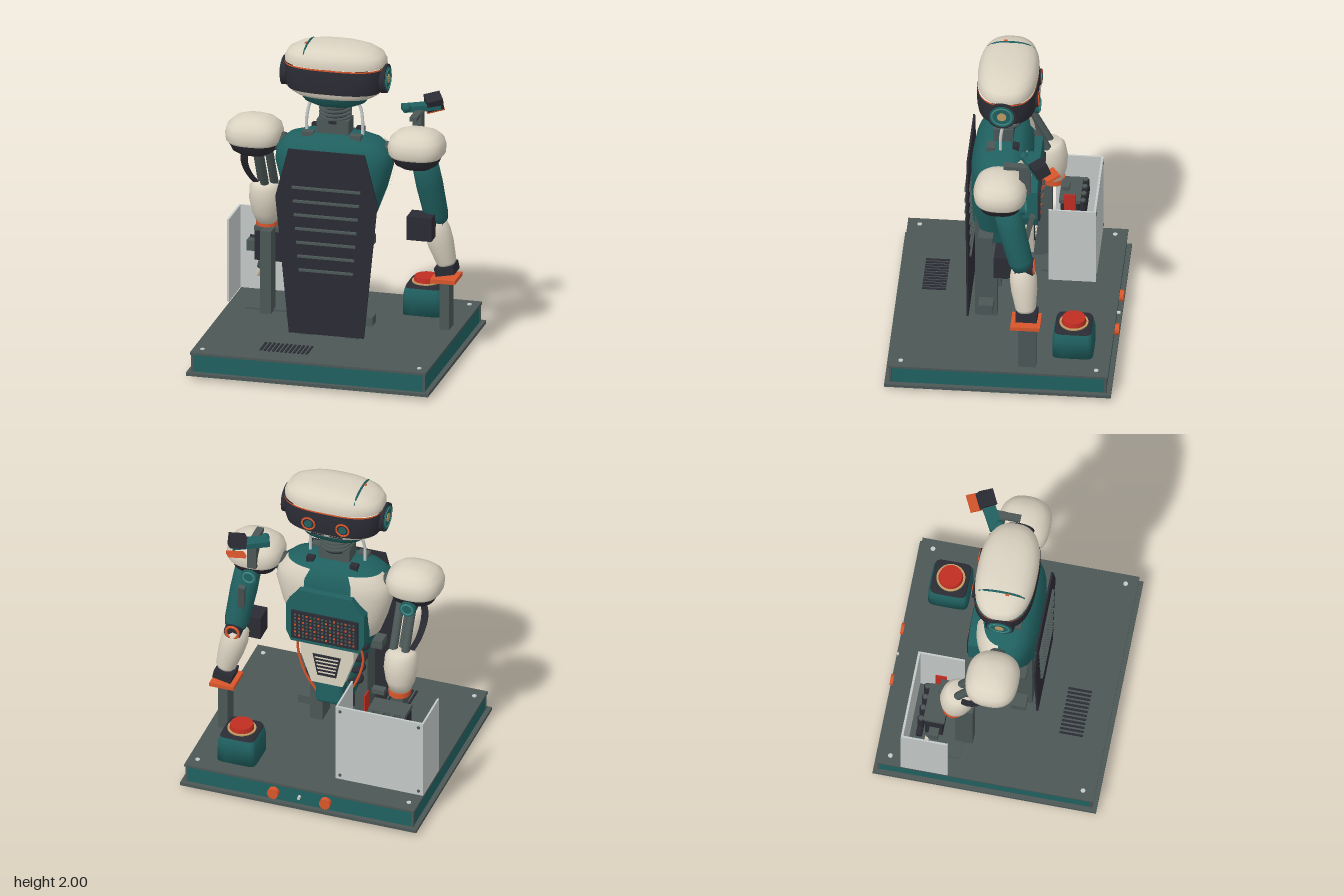
import * as THREE from 'three';
import { mergeVertices, mergeGeometries } from 'three/addons/utils/BufferGeometryUtils.js';
import { RoundedBoxGeometry } from 'three/addons/geometries/RoundedBoxGeometry.js';

const mat = (name, color) => Object.assign(new THREE.MeshStandardMaterial({ color }), { name });
const cream = mat('cream', 0xdad2c1), teal = mat('teal', 0x206060), dark = mat('charcoal', 0x2b2b34);
const slate = mat('slate', 0x4b5756), orange = mat('orange', 0xd8562b), red = mat('red', 0xc02d22);
const grey = mat('light grey', 0xc3c9c8), tan = mat('tan', 0xbf9a62), aqua = mat('aqua', 0x3b8480);
const V = (x, y, z) => new THREE.Vector3(x, y, z);

// Stacked superellipse cross-sections [y, halfWidth, zMin, zMax], over an optional angle range
function loft(sections, n = 2.6, a0 = 0, a1 = Math.PI * 2, seg = 48) {
  const pos = [], idx = [], e = 2 / n;
  const pw = v => Math.sign(v) * Math.pow(Math.abs(v) < 1e-9 ? 0 : Math.abs(v), e);
  sections.forEach(([y, hx, z0, z1]) => {
    for (let j = 0; j <= seg; j++) {
      const t = a0 + (a1 - a0) * j / seg;
      pos.push(hx * pw(Math.cos(t)), y, (z0 + z1) / 2 + (z1 - z0) / 2 * pw(Math.sin(t)));
    }
  });
  for (let i = 0; i < sections.length - 1; i++) for (let j = 0; j < seg; j++) {
    const a = i * (seg + 1) + j, b = a + 1, d = a + seg + 1, c = d + 1;
    idx.push(a, d, b, b, d, c);
  }
  const g = new THREE.BufferGeometry();
  g.setAttribute('position', new THREE.Float32BufferAttribute(pos, 3));
  g.setIndex(idx);
  const m = mergeVertices(g, 1e-5);
  m.computeVertexNormals();
  return m;
}

// Plate cut from an outline in x and y, centred in depth
function plate(points, depth) {
  const s = new THREE.Shape(points.map(p => new THREE.Vector2(p[0], p[1])));
  return new THREE.ExtrudeGeometry(s, { depth, bevelEnabled: false }).translate(0, 0, -depth / 2);
}

export function createModel() {
  const root = new THREE.Group();
  root.name = 'robotOnStand';
  const add = (name, geo, m, x = 0, y = 0, z = 0, rx = 0, ry = 0, rz = 0) => {
    const mesh = new THREE.Mesh(geo, m);
    mesh.name = name;
    mesh.position.set(x, y, z);
    mesh.rotation.set(rx, ry, rz);
    root.add(mesh);
    return mesh;
  };
  const box = (name, m, w, h, d, ...at) => add(name, new THREE.BoxGeometry(w, h, d), m, ...at);
  const cyl = (name, m, r, h, ...at) => add(name, new THREE.CylinderGeometry(r, r, h, 28), m, ...at);
  const tube = (name, m, pts, r) =>
    add(name, new THREE.TubeGeometry(new THREE.CatmullRomCurve3(pts), 20, r, 8), m);
  // Turned limb from a to b, profile of [radius, fraction along]
  const limb = (name, m, a, b, profile) => {
    const len = a.distanceTo(b);
    const geo = new THREE.LatheGeometry(profile.map(([r, t]) => new THREE.Vector2(r, t * len)), 28);
    const mesh = add(name, geo, m, a.x, a.y, a.z);
    mesh.quaternion.setFromUnitVectors(V(0, 1, 0), b.clone().sub(a).normalize());
    return mesh;
  };
  const rod = r => [[0, 0], [r, 0], [r, 1], [0, 1]];

  // Base
  box('bottomPlate', slate, 1.52, 0.02, 1.38, 0, 0.03, 0);
  box('baseBody', teal, 1.46, 0.11, 1.32, 0, 0.095, 0);
  box('baseTop', slate, 1.48, 0.015, 1.34, 0, 0.1575, 0);
  for (const x of [-1, 1]) for (const z of [-1, 1]) {
    cyl('foot', dark, 0.05, 0.022, x * 0.655, 0.011, z * 0.58);
    cyl('screw', grey, 0.014, 0.006, x * 0.68, 0.167, z * 0.595);
    box('cornerPost', slate, 0.015, 0.11, 0.015, x * 0.726, 0.095, z * 0.656);
  }
  for (let i = 0; i < 12; i++) box('baseVent', dark, 0.013, 0.008, 0.145, -0.335 + i * 0.0262, 0.167, 0.455);
  for (const x of [-0.17, 0.165]) cyl('baseKnob', orange, 0.035, 0.04, x, 0.095, -0.672, Math.PI / 2);
  cyl('baseSocket', grey, 0.01, 0.03, 0, 0.095, -0.67, Math.PI / 2);

  // Back panel with ribs
  add('backPanel', plate([[-0.24, 1.37], [-0.32, 1.06], [-0.235, 0.19], [0.235, 0.19], [0.32, 1.06], [0.24, 1.37]], 0.012), dark, 0, 0, 0.226);
  for (let i = 0; i < 7; i++) box('panelRib', slate, 0.43 - i * 0.015, 0.014, 0.04, 0, 1.13 - i * 0.088, 0.228);

  // Support posts
  for (const s of [-1, 1]) {
    box('supportPost', slate, 0.08, 0.85, 0.135, s * 0.145, 0.59, 0.118);
    for (const y of [0.275, 0.79]) box('supportBracket', slate, 0.1, 0.055, 0.09, s * 0.22, y, 0.115);
  }

  // Torso, with cream flanks laid over the teal body
  const body = [[0.37, 0, 0, 0.02], [0.375, 0.09, -0.03, 0.05], [0.48, 0.13, -0.06, 0.1], [0.65, 0.17, -0.09, 0.17],
    [0.82, 0.21, -0.1, 0.208], [0.95, 0.27, -0.13, 0.215], [1.1, 0.325, -0.155, 0.217], [1.25, 0.365, -0.16, 0.217],
    [1.34, 0.355, -0.15, 0.2], [1.4, 0.29, -0.12, 0.165], [1.435, 0.17, -0.08, 0.12], [1.44, 0, 0.02, 0.02]];
  add('torso', loft(body), teal);
  const flank = body.slice(5, 10).map(([y, x, a, b]) => [y, x + 0.012, a - 0.012, b + 0.012]);
  flank.unshift([0.93, 0.245, -0.11, 0.2]);
  add('rightFlank', loft(flank, 2.6, Math.PI * 1.03, Math.PI * 1.4, 20), cream);
  add('leftFlank', loft(flank, 2.6, Math.PI * 1.6, Math.PI * 1.97, 20), cream);

  // Chest plate and speaker grid
  add('chestPlate', plate([[-0.22, 0.9], [0.22, 0.9], [0.25, 0.97], [0.25, 1.17], [0.17, 1.28], [-0.17, 1.28], [-0.25, 1.17], [-0.25, 0.97]], 0.1), teal, 0, 0, -0.15);
  box('chestGrid', dark, 0.43, 0.2, 0.016, 0, 1.03, -0.205);
  const dots = [[], []];
  for (let i = 0; i < 16; i++) for (let j = 0; j < 7; j++)
    dots[(i * 5 + j * 3) % 7 < 2 ? 0 : 1].push(new THREE.BoxGeometry(0.012, 0.012, 0.004).translate(-0.1875 + i * 0.025, 0.955 + j * 0.025, -0.214));
  add('gridLights', mergeGeometries(dots[0]), orange);
  add('gridHoles', mergeGeometries(dots[1]), slate);

  // Abdomen, waist ribs and cables
  add('bellyPlate', plate([[-0.1, 0.6], [0.1, 0.6], [0.17, 0.8], [0.17, 0.88], [-0.17, 0.88], [-0.17, 0.8]], 0.09), cream, 0, 0, -0.12);
  add('bellyVent', plate([[-0.06, 0.66], [0.06, 0.66], [0.09, 0.81], [-0.09, 0.81]], 0.008), dark, 0, 0, -0.167);
  for (let i = 0; i < 5; i++) box('bellyVentSlat', cream, 0.15 - i * 0.01, 0.008, 0.006, 0, 0.79 - i * 0.026, -0.172);
  add('pelvis', new RoundedBoxGeometry(0.18, 0.19, 0.12, 3, 0.03), teal, 0, 0.52, -0.075);
  for (const s of [-1, 1]) {
    for (let i = 0; i < 4; i++) {
      const rib = add('waistRib', new THREE.SphereGeometry(1, 20, 12), dark, s * (0.175 - i * 0.013), 0.84 - i * 0.086, -0.025);
      rib.scale.set(0.05, 0.028, 0.055);
    }
    tube('waistCable', orange, [V(s * 0.19, 0.92, -0.12), V(s * 0.21, 0.78, -0.1), V(s * 0.16, 0.6, -0.1), V(s * 0.09, 0.48, -0.09)], 0.008);
  }

  // Neck
  box('neckBlock', slate, 0.2, 0.09, 0.12, 0, 1.48, 0.02);
  cyl('neckCore', dark, 0.075, 0.16, 0, 1.58, 0.01);
  for (let i = 0; i < 4; i++) cyl('neckRing', slate, 0.1, 0.01, 0, 1.535 + i * 0.025, 0.01);
  for (const s of [-1, 1]) {
    tube('neckPipe', grey, [V(s * 0.175, 1.41, 0.03), V(s * 0.175, 1.52, 0.03), V(s * 0.16, 1.6, 0.02), V(s * 0.13, 1.66, 0.02)], 0.01);
    box('collarBlock', slate, 0.07, 0.045, 0.05, s * 0.15, 1.425, 0.09);
    box('collarBlock', dark, 0.05, 0.04, 0.04, s * 0.14, 1.43, -0.06);
  }

  // Head
  add('jaw', loft([[1.615, 0, 0, 0], [1.615, 0.13, -0.09, 0.1], [1.64, 0.19, -0.13, 0.13], [1.685, 0.225, -0.15, 0.15]]), teal);
  add('cheeks', loft([[1.68, 0, 0, 0], [1.68, 0.24, -0.15, 0.15], [1.7, 0.275, -0.17, 0.165], [1.74, 0.3, -0.18, 0.175]]), cream);
  add('visor', loft([[1.72, 0.295, -0.184, 0.176], [1.76, 0.306, -0.19, 0.182], [1.83, 0.313, -0.19, 0.182], [1.872, 0.31, -0.184, 0.178]], 2.8), dark);
  add('visorTrim', loft([[1.87, 0.313, -0.188, 0.181], [1.88, 0.313, -0.188, 0.181]], 2.8), orange);
  const cap = [[1.88, 0.313, -0.187, 0.18], [1.91, 0.314, -0.187, 0.18], [1.945, 0.295, -0.177, 0.168],
    [1.972, 0.245, -0.155, 0.142], [1.99, 0.18, -0.12, 0.105], [2.0, 0.09, -0.07, 0.055], [1.996, 0, -0.01, -0.01]];
  add('headCap', loft(cap, 2.5), cream);
  tube('capStripe', teal, [V(-0.168, 1.95, -0.145), V(-0.168, 1.975, -0.11), V(-0.168, 1.99, -0.05), V(-0.168, 1.99, 0.04), V(-0.168, 1.975, 0.1), V(-0.168, 1.95, 0.135)], 0.007);
  box('capMark', orange, 0.012, 0.006, 0.02, -0.18, 1.992, 0.03);
  for (const s of [-1, 1]) {
    const q = Math.PI / 2;
    cyl('earHousing', dark, 0.09, 0.035, s * 0.31, 1.8, 0.01, 0, 0, q);
    cyl('earDisc', teal, 0.076, 0.008, s * 0.328, 1.8, 0.01, 0, 0, q);
    add('earRing', new THREE.TorusGeometry(0.06, 0.006, 8, 32), aqua, s * 0.331, 1.8, 0.01, 0, q);
    cyl('earCentre', tan, 0.028, 0.01, s * 0.331, 1.8, 0.01, 0, 0, q);
    cyl('eyeDisc', dark, 0.05, 0.02, s * 0.11, 1.785, -0.185, q);
    add('eyeRing', new THREE.TorusGeometry(0.04, 0.006, 8, 32), orange, s * 0.11, 1.785, -0.195);
    cyl('eyeLens', teal, 0.025, 0.008, s * 0.11, 1.785, -0.197, q);
    box('cheekSlot', dark, 0.08, 0.008, 0.01, s * 0.06, 1.705, -0.168);
  }

  // Shoulders
  for (const s of [-1, 1]) {
    add('shoulderSocket', loft([[1.25, 0, 0, 0], [1.25, 0.09, -0.08, 0.09], [1.275, 0.13, -0.12, 0.125], [1.34, 0.163, -0.15, 0.153]]), dark, s * 0.51);
    add('shoulderCap', loft([[1.325, 0.158, -0.148, 0.15], [1.34, 0.17, -0.155, 0.16], [1.385, 0.175, -0.158, 0.165], [1.43, 0.163, -0.145, 0.15],
      [1.465, 0.125, -0.11, 0.115], [1.487, 0.07, -0.06, 0.065], [1.49, 0, 0, 0]]), cream, s * 0.51);
    limb('shoulderAxle', slate, V(s * 0.32, 1.33, 0), V(s * 0.42, 1.34, 0), rod(0.06));
    cyl('shoulderJoint', teal, 0.05, 0.06, s * 0.51, 1.26, -0.12, Math.PI / 2);
    add('shoulderJointRing', new THREE.TorusGeometry(0.035, 0.007, 8, 24), aqua, s * 0.51, 1.26, -0.15);
  }

  // Left arm, resting on a post
  limb('leftUpperArm', teal, V(0.6, 0.86, -0.14), V(0.545, 1.29, -0.03), [[0, 0], [0.06, 0], [0.075, 0.12], [0.083, 0.6], [0.08, 1], [0, 1]]);
  box('leftArmRail', slate, 0.04, 0.28, 0.03, 0.55, 1.08, -0.165, -0.22, 0, 0.1);
  cyl('leftElbow', dark, 0.055, 0.11, 0.595, 0.87, -0.15, Math.PI / 2);
  add('leftElbowRing', new THREE.TorusGeometry(0.04, 0.009, 8, 24), orange, 0.595, 0.87, -0.207);
  box('elbowBox', dark, 0.155, 0.15, 0.13, 0.53, 0.855, -0.03);
  limb('leftForearm', cream, V(0.655, 0.575, -0.165), V(0.575, 0.88, -0.135), [[0, 0], [0.05, 0], [0.062, 0.06], [0.08, 0.45], [0.083, 0.7], [0.07, 0.93], [0.04, 1], [0, 1]]);
  box('leftHand', dark, 0.12, 0.055, 0.13, 0.65, 0.545, -0.17, 0, 0, 0.2);
  box('handRest', orange, 0.155, 0.025, 0.18, 0.648, 0.487, -0.165);
  box('handRestPost', slate, 0.06, 0.31, 0.11, 0.648, 0.32, -0.175);

  // Tool mounted on the left shoulder
  box('toolPost', slate, 0.055, 0.19, 0.07, 0.48, 1.45, -0.145);
  box('toolArm', slate, 0.045, 0.025, 0.17, 0.48, 1.54, -0.1);
  box('toolBody', teal, 0.23, 0.035, 0.08, 0.48, 1.56, -0.2, 0, 0.5, 0);
  box('toolBlock', dark, 0.1, 0.075, 0.09, 0.55, 1.585, -0.24, 0.35, 0.5, 0);
  box('toolTip', orange, 0.11, 0.018, 0.09, 0.535, 1.53, -0.305, 0.35, 0.5, 0);
  add('toolKnob', new THREE.SphereGeometry(0.027, 16, 12), teal, 0.41, 1.57, -0.13);

  // Right arm: exposed rods and cables
  for (const [x, z] of [[-0.49, 0], [-0.44, -0.04], [-0.52, -0.05]])
    limb('rightArmRod', slate, V(x, 0.97, z - 0.17), V(x, 1.3, z), rod(0.026));
  for (let i = 0; i < 3; i++)
    tube('rightArmCable', dark, [V(-0.55 - i * 0.012, 1.29, -0.02), V(-0.575 - i * 0.015, 1.18, -0.05), V(-0.57 - i * 0.012, 1.07, -0.12), V(-0.53 - i * 0.01, 0.97, -0.19)], 0.008);
  limb('rightForearm', cream, V(-0.495, 0.73, -0.235), V(-0.495, 1.0, -0.205), [[0, 0], [0.065, 0], [0.09, 0.25], [0.105, 0.55], [0.1, 0.85], [0.075, 0.98], [0, 1]]);
  cyl('rightCuff', orange, 0.068, 0.035, -0.495, 0.72, -0.24);
  box('rightPost', slate, 0.07, 0.53, 0.11, -0.475, 0.43, -0.175);
  box('rightPostFoot', slate, 0.34, 0.012, 0.14, -0.45, 0.17, -0.25);

  // Gripper
  box('gripperPlate', slate, 0.24, 0.025, 0.13, -0.47, 0.65, -0.345);
  box('gripperBody', dark, 0.24, 0.19, 0.11, -0.47, 0.54, -0.345);
  box('gripperBar', slate, 0.37, 0.065, 0.06, -0.46, 0.525, -0.34);
  limb('gripperShaft', dark, V(-0.65, 0.535, -0.425), V(-0.33, 0.535, -0.425), rod(0.02));
  for (let i = 0; i < 4; i++) {
    cyl('gripperMotor', dark, 0.022, 0.1, -0.58 + i * 0.07, 0.6, -0.425);
    cyl('motorCap', slate, 0.015, 0.01, -0.58 + i * 0.07, 0.655, -0.425);
  }
  limb('gripperFinger', slate, V(-0.57, 0.37, -0.38), V(-0.545, 0.46, -0.36), rod(0.026));
  limb('fingerTip', cream, V(-0.595, 0.31, -0.39), V(-0.56, 0.4, -0.375), [[0, 0], [0.012, 0], [0.024, 1], [0, 1]]);
  box('gripperRod', red, 0.008, 0.16, 0.07, -0.32, 0.65, -0.35);
  box('gripperTab', slate, 0.08, 0.03, 0.05, -0.39, 0.75, -0.32);

  // Screen panels around the gripper
  box('screenBack', grey, 0.565, 0.53, 0.014, -0.4625, 0.445, -0.512);
  box('screenSide', grey, 0.012, 0.53, 0.28, -0.739, 0.445, -0.37);
  box('screenSide', grey, 0.012, 0.53, 0.28, -0.186, 0.445, -0.37);
  for (const x of [-0.715, -0.21]) for (const y of [0.21, 0.68]) cyl('screenScrew', slate, 0.01, 0.006, x, y, -0.521, Math.PI / 2);

  // Push button box
  const bx = (y, h) => [y, h, -h, h];
  add('buttonBox', loft([bx(0.165, 0), bx(0.165, 0.125), bx(0.28, 0.124), bx(0.325, 0.115), bx(0.345, 0.1)], 7), teal, 0.45, 0, -0.44);
  add('buttonTop', loft([bx(0.335, 0.112), bx(0.35, 0.104), bx(0.352, 0)], 7), dark, 0.45, 0, -0.44);
  cyl('buttonRing', tan, 0.088, 0.008, 0.45, 0.354, -0.44);
  add('button', new THREE.CylinderGeometry(0.07, 0.077, 0.04, 36), red, 0.45, 0.368, -0.44);
  return root;
}
